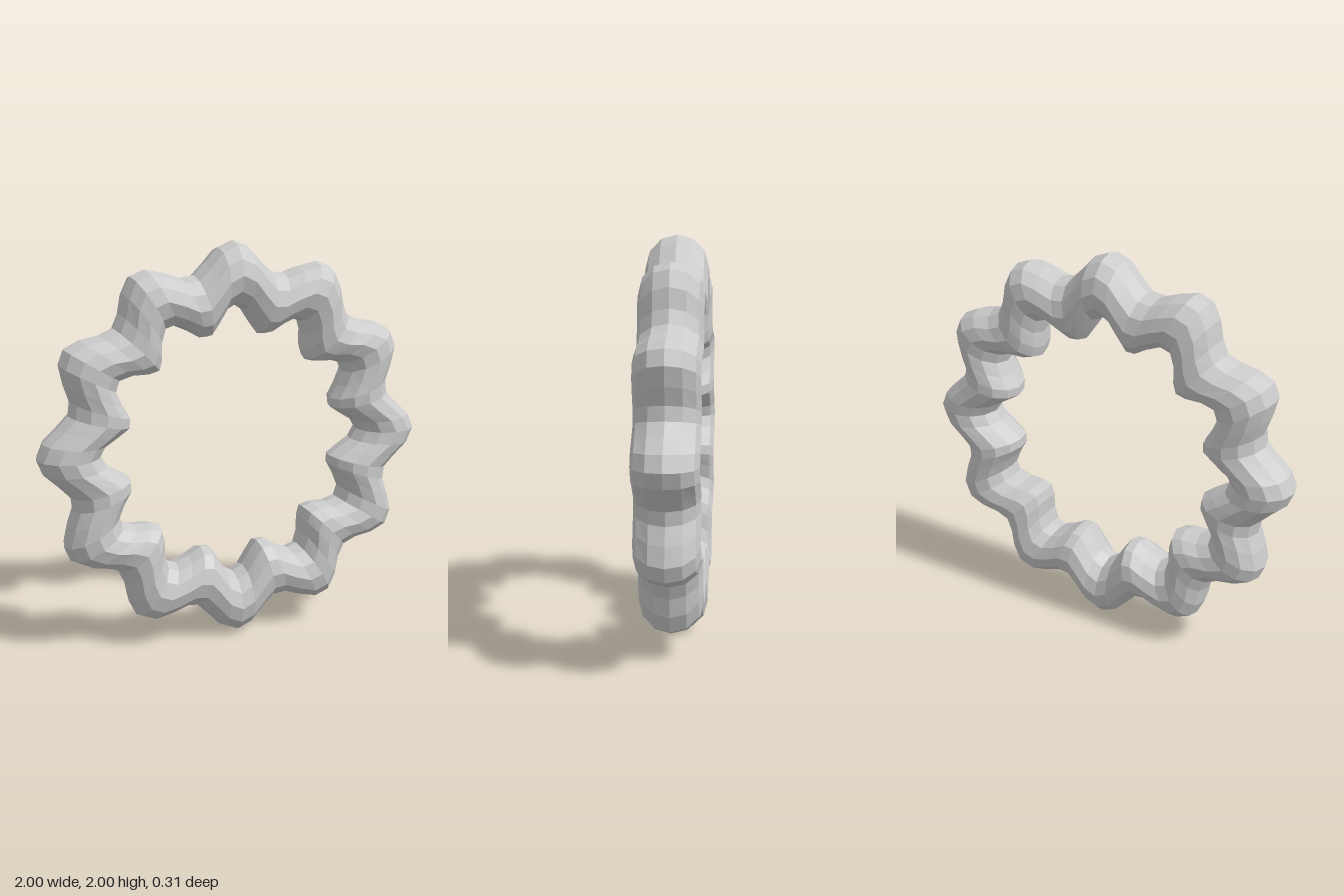
import * as THREE from 'three';

const RING = 0.775, TUBE = 0.155, WAVE = 0.07, LOBES = 12;

export function createModel() {
  const group = new THREE.Group();
  group.name = 'wavyRing';

  // Low-poly torus whose sections slide in and out along the radius
  const geometry = new THREE.TorusGeometry(RING, TUBE, 12, 80);
  const pos = geometry.attributes.position;
  for (let i = 0; i < pos.count; i++) {
    const x = pos.getX(i), y = pos.getY(i);
    const angle = Math.atan2(y, x);
    const radius = Math.hypot(x, y) + WAVE * Math.cos(LOBES * angle);
    pos.setXY(i, radius * Math.cos(angle), radius * Math.sin(angle));
  }
  geometry.computeVertexNormals();

  const material = new THREE.MeshStandardMaterial({ color: 0xcccccc, flatShading: true });
  const ring = new THREE.Mesh(geometry, material);
  ring.name = 'scallopedRing';
  ring.position.y = 1;
  group.add(ring);
  return group;
}
